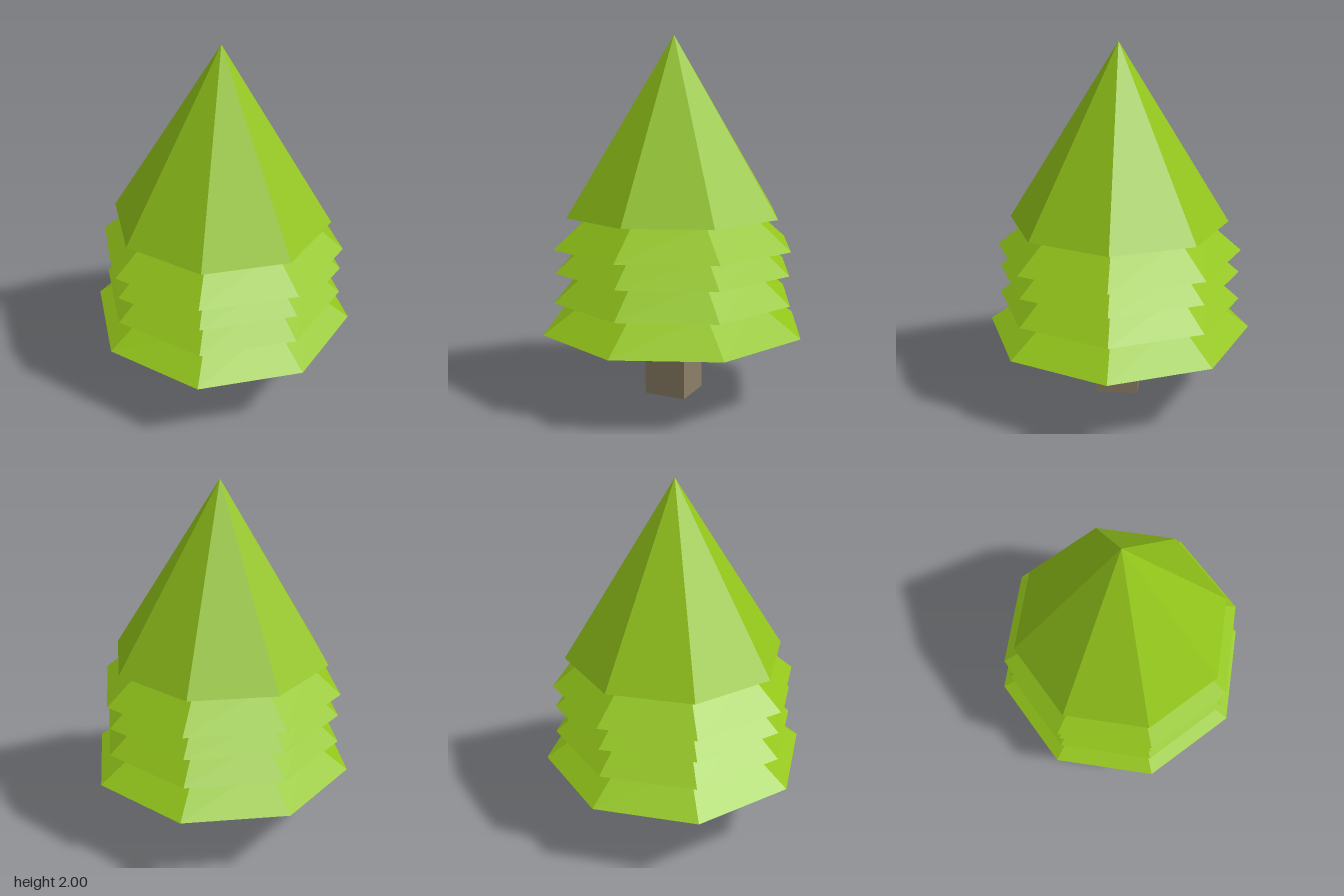
import * as THREE from 'three';

const SIDES = 8;

export function createModel() {
  const tree = new THREE.Group();
  tree.name = 'pineTree';

  const leafMaterial = new THREE.MeshStandardMaterial({ color: 0x92c41a, flatShading: true });
  const barkMaterial = new THREE.MeshStandardMaterial({ color: 0x8c7f66, flatShading: true });

  // Square trunk, reaching just into the lowest tier
  const trunk = new THREE.Mesh(new THREE.BoxGeometry(0.24, 0.4, 0.24), barkMaterial);
  trunk.name = 'trunk';
  trunk.position.y = 0.2;
  tree.add(trunk);

  // Skirts of foliage from bottom to top: each narrows into the one above
  const tiers = [
    { name: 'bottomBranches', y: 0.395, top: 0.567, radius: 0.747, topRadius: 0.5 },
    { name: 'lowerBranches', y: 0.567, top: 0.73, radius: 0.684, topRadius: 0.495 },
    { name: 'middleBranches', y: 0.73, top: 0.86, radius: 0.677, topRadius: 0.525 },
    { name: 'upperBranches', y: 0.86, top: 1.027, radius: 0.684, topRadius: 0.488 },
    { name: 'treetop', y: 1.027, top: 2, radius: 0.609, topRadius: 0 },
  ];
  for (const { name, y, top, radius, topRadius } of tiers) {
    const height = top - y;
    const tier = new THREE.Mesh(
      new THREE.CylinderGeometry(topRadius, radius, height, SIDES),
      leafMaterial
    );
    tier.name = name;
    tier.position.y = y + height / 2;
    tree.add(tier);
  }

  return tree;
}
